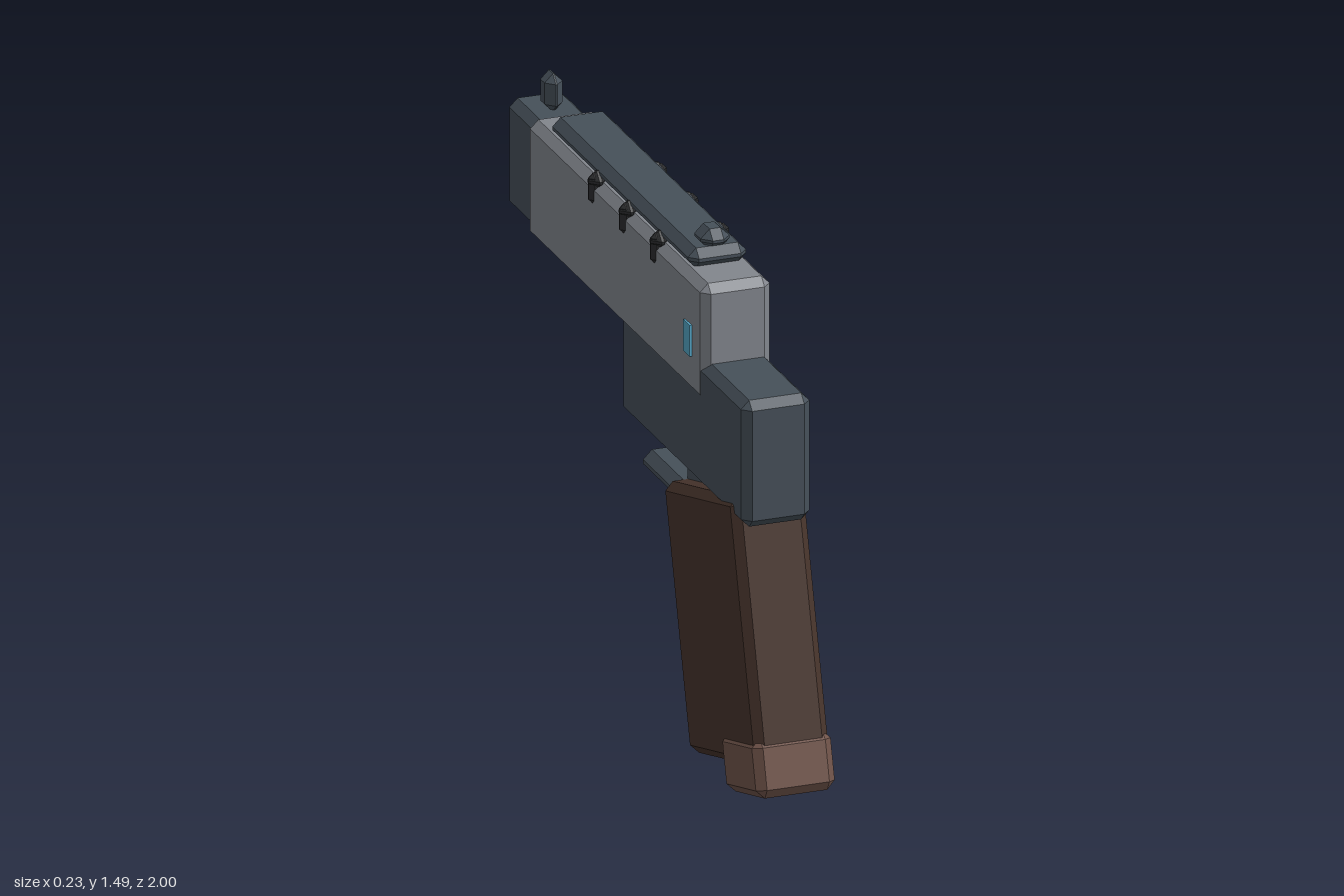
import * as THREE from 'three';
import { ConvexGeometry } from 'three/addons/geometries/ConvexGeometry.js';

// Box with every edge cut flat by c
function chamferBox(w, h, d, c) {
  const pts = [];
  for (const sx of [-1, 1]) for (const sy of [-1, 1]) for (const sz of [-1, 1]) {
    const x = w / 2, y = h / 2, z = d / 2;
    const add = (a, b, e) => pts.push(new THREE.Vector3(sx * a, sy * b, sz * e));
    add(x, y - c, z - c);
    add(x - c, y, z - c);
    add(x - c, y - c, z);
  }
  return new ConvexGeometry(pts);
}

export function createModel() {
  const group = new THREE.Group();
  const mat = (name, color) => {
    const m = new THREE.MeshStandardMaterial({ color });
    m.name = name;
    return m;
  };
  const lightMetal = mat('light metal', 0x82868d);
  const darkMetal = mat('dark metal', 0x465059);
  const brown = mat('dark brown', 0x47342c);
  const tan = mat('light brown', 0x70544a);
  const black = mat('black', 0x2b2c2e);
  const blue = mat('blue', 0x55a6c6);

  const add = (name, geometry, material, x, y, z, tilt = 0) => {
    const m = new THREE.Mesh(geometry, material);
    m.name = name;
    m.position.set(x, y, z);
    m.rotation.x = tilt;
    group.add(m);
    return m;
  };
  // Chamfered block given by its y and z limits, centred on x = 0
  const block = (name, material, w, y0, y1, z0, z1, c) =>
    add(name, chamferBox(w, y1 - y0, z1 - z0, c), material, 0, (y0 + y1) / 2, (z0 + z1) / 2);

  // Body
  block('slide', lightMetal, 0.204, 1.058, 1.405, -0.8, 0.54, 0.024);
  block('frame', darkMetal, 0.2, 0.805, 1.176, -0.095, 0.848, 0.024);
  block('muzzle', darkMetal, 0.172, 1.07, 1.392, -1, -0.77, 0.024);
  block('topRail', darkMetal, 0.17, 1.398, 1.456, -0.675, 0.405, 0.024);

  // Sights
  block('rearSight', darkMetal, 0.084, 1.44, 1.5, 0.292, 0.392, 0.026);
  block('frontSight', darkMetal, 0.052, 1.385, 1.496, -0.92, -0.84, 0.024);

  // Trigger and guard
  block('trigger', darkMetal, 0.08, 0.7, 0.82, 0.25, 0.45, 0.012);
  block('triggerGuard', darkMetal, 0.16, 0.668, 0.732, 0, 0.45, 0.026);

  // Raked grip with its heel
  const rake = THREE.MathUtils.degToRad(-15.5);
  add('grip', chamferBox(0.216, 0.75, 0.56, 0.024), brown, 0, 0.4385, 0.61, rake);
  add('gripHeel', chamferBox(0.23, 0.165, 0.28, 0.024), tan, 0, 0.117, 0.85, rake);

  // Side details, mirrored
  for (const s of [-1, 1]) {
    add('sideLight', new THREE.BoxGeometry(0.008, 0.092, 0.05), blue, s * 0.104, 1.217, 0.43);
    for (const z of [0.17, -0.065, -0.302]) {
      add('railClipHead', chamferBox(0.056, 0.056, 0.056, 0.024), black, s * 0.087, 1.405, z);
      add('railClipPin', chamferBox(0.05, 0.09, 0.032, 0.014), black, s * 0.089, 1.383, z);
    }
  }
  return group;
}
